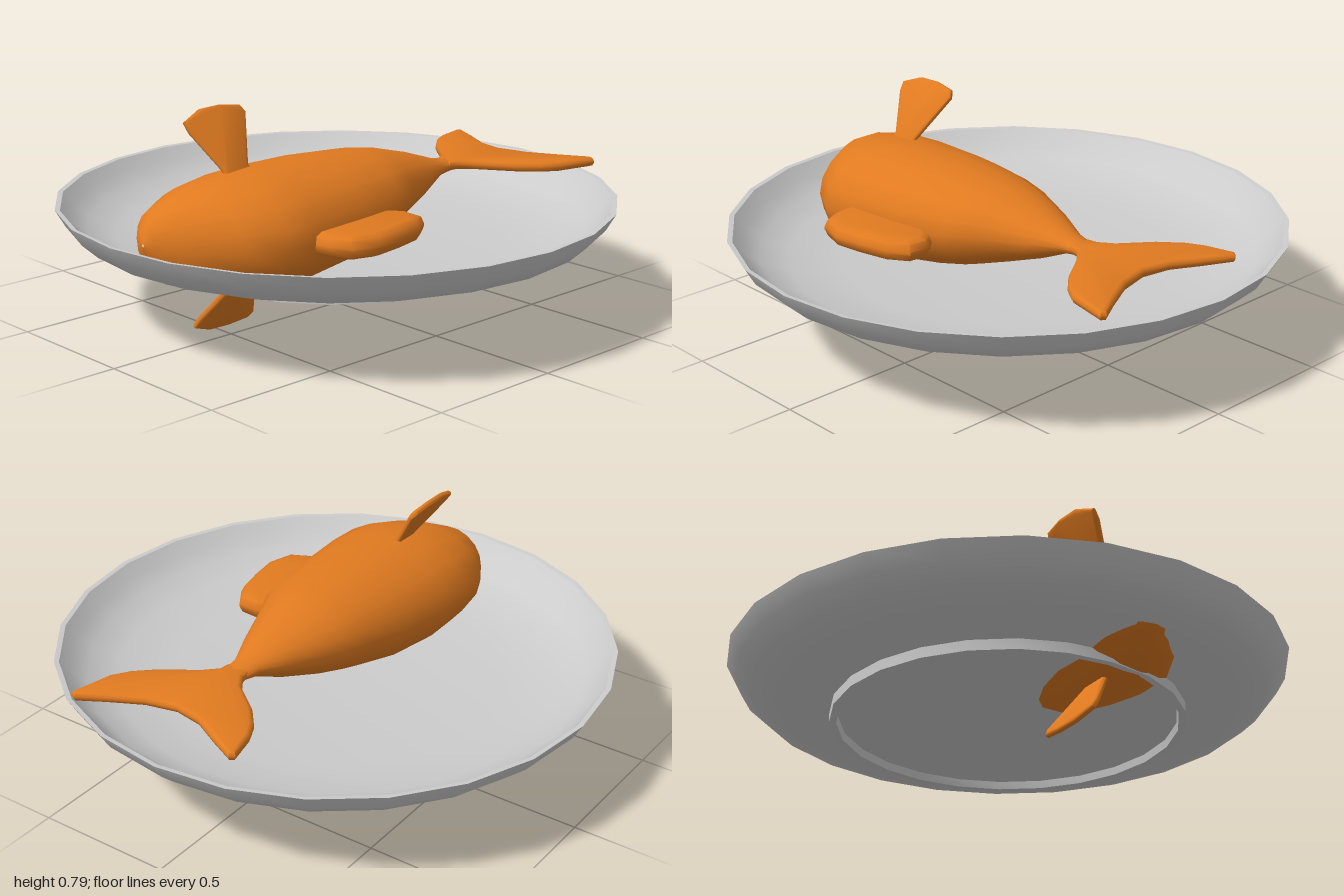
import * as THREE from 'three';
import { toCreasedNormals } from 'three/addons/utils/BufferGeometryUtils.js';

const grey = new THREE.MeshStandardMaterial({ color: 0xcccccc });
const orange = new THREE.MeshStandardMaterial({ color: 0xe07a20 });

function part(name, geometry, material) {
  const mesh = new THREE.Mesh(geometry, material);
  mesh.name = name;
  return mesh;
}

// Oval cross-sections [z, xMin, xMax, yMin, yMax], ordered from nose to tail
function loft(sections, sides) {
  const pos = [], index = [];
  sections.forEach(([z, x0, x1, y0, y1], i) => {
    for (let j = 0; j < sides; j++) {
      const t = (j / sides) * Math.PI * 2;
      pos.push((x0 + x1) / 2 + (x1 - x0) / 2 * Math.cos(t), (y0 + y1) / 2 + (y1 - y0) / 2 * Math.sin(t), z);
      if (i === sections.length - 1) continue;
      const a = i * sides + j, b = i * sides + (j + 1) % sides;
      index.push(a, a + sides, b, b, a + sides, b + sides);
    }
  });
  const g = new THREE.BufferGeometry();
  g.setAttribute('position', new THREE.Float32BufferAttribute(pos, 3));
  g.setIndex(index);
  g.computeVertexNormals();
  return g;
}

// Flat rounded slab centred on its own plane; u and v are the plane's axes
function slab(outline, thickness, bevel, origin, u, v) {
  const shape = new THREE.Shape(outline.map(p => new THREE.Vector2(...p)));
  const depth = thickness - 2 * bevel;
  const g = new THREE.ExtrudeGeometry(shape, {
    depth, bevelThickness: bevel, bevelSize: bevel, bevelOffset: -bevel, bevelSegments: 2,
  });
  g.translate(0, 0, -depth / 2);
  const w = new THREE.Vector3().crossVectors(u, v).normalize();
  g.applyMatrix4(new THREE.Matrix4().makeBasis(u, v, w).setPosition(origin));
  return toCreasedNormals(g, 0.9);
}

export function createModel() {
  const model = new THREE.Group();
  model.name = 'fishOnPlate';

  // Plate: underside, foot ring, outer wall, rim, inner bowl
  const profile = [
    [0, 0.228], [0.6, 0.228], [0.605, 0.2], [0.63, 0.2], [0.63, 0.238], [0.8, 0.262], [0.91, 0.3],
    [0.965, 0.35], [1, 0.41], [0.982, 0.408], [0.945, 0.365], [0.89, 0.322], [0.79, 0.285], [0.6, 0.26], [0, 0.255],
  ].map(p => new THREE.Vector2(...p));
  model.add(part('plate', toCreasedNormals(new THREE.LatheGeometry(profile, 24), 0.7), grey));

  // Fish lying on its side
  const fish = new THREE.Group();
  fish.name = 'fish';
  model.add(fish);

  fish.add(part('body', loft([
    [0.875, 0.005, 0.015, 0.39, 0.4],
    [0.86, -0.04, 0.06, 0.33, 0.45],
    [0.81, -0.11, 0.155, 0.255, 0.51],
    [0.69, -0.18, 0.31, 0.215, 0.565],
    [0.56, -0.2, 0.385, 0.19, 0.593],
    [0.43, -0.2, 0.385, 0.185, 0.602],
    [0.2, -0.18, 0.36, 0.213, 0.602],
    [0, -0.14, 0.325, 0.265, 0.59],
    [-0.12, -0.1, 0.265, 0.305, 0.57],
    [-0.28, -0.03, 0.2, 0.365, 0.528],
    [-0.4, 0.035, 0.145, 0.42, 0.487],
    [-0.47, 0.05, 0.14, 0.435, 0.474],
    [-0.56, 0.04, 0.15, 0.443, 0.468],
    [-0.6, 0.09, 0.1, 0.454, 0.457],
  ], 18), orange));

  // Tail and back fin lie in the horizontal plane, outlines as (x, -z)
  const X = new THREE.Vector3(1, 0, 0), Z = new THREE.Vector3(0, 0, 1);
  const back = new THREE.Vector3(0, 0, -1);
  fish.add(part('tailFin', slab([
    [0.05, 0.44], [0.14, 0.44], [0.145, 0.48], [0.19, 0.525], [0.31, 0.605], [0.38, 0.67], [0.42, 0.73],
    [0.455, 0.885], [0.435, 0.895], [0.34, 0.84], [0.225, 0.78], [0.11, 0.752], [0.005, 0.77],
    [-0.1, 0.825], [-0.205, 0.875], [-0.222, 0.86], [-0.195, 0.75], [-0.165, 0.69], [-0.1, 0.615],
    [0.01, 0.53], [0.045, 0.48],
  ], 0.036, 0.015, new THREE.Vector3(0, 0.457, 0), X, back), orange));

  fish.add(part('backFin', slab([
    [0.2, -0.46], [0.39, -0.455], [0.44, -0.445], [0.51, -0.41], [0.54, -0.31], [0.525, -0.2], [0.5, -0.09],
    [0.45, -0.015], [0.37, -0.01], [0.32, -0.05], [0.2, -0.06],
  ], 0.08, 0.035, new THREE.Vector3(0, 0.39, 0), X, back), orange));

  // Fan-shaped side fins, one above and one below, outlines as (z, height)
  const fan = [
    [0.44, -0.05], [0.56, -0.05], [0.56, 0], [0.63, 0.15], [0.635, 0.19], [0.555, 0.225], [0.465, 0.228],
    [0.385, 0.215], [0.37, 0.185], [0.45, 0],
  ];
  for (const s of [1, -1]) {
    const up = new THREE.Vector3(-0.13, 0.19 * s, 0).normalize();
    const origin = new THREE.Vector3(0.04, s > 0 ? 0.6 : 0.19, s > 0 ? 0 : -0.025);
    fish.add(part(s > 0 ? 'upperSideFin' : 'lowerSideFin', slab(fan, 0.022, 0.009, origin, Z, up), orange));
  }
  return model;
}
